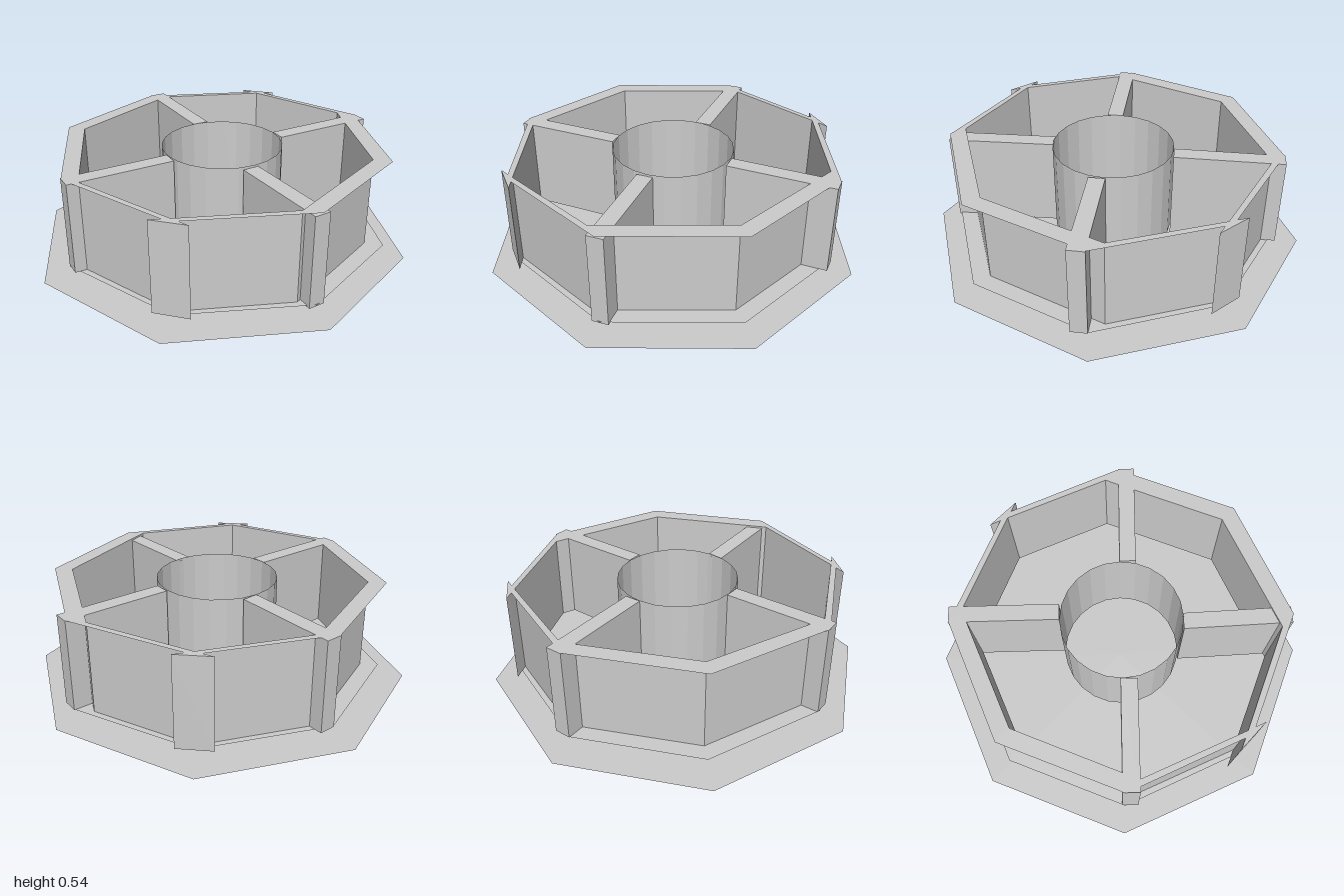
import * as THREE from 'three';

const BOTTOM = 0.06, TOP = 0.54;

export function createModel() {
  const group = new THREE.Group();
  const material = new THREE.MeshStandardMaterial({
    color: 0xcccccc, flatShading: true, side: THREE.DoubleSide,
  });
  const add = (geometry, name) => {
    const mesh = new THREE.Mesh(geometry, material);
    mesh.name = name;
    group.add(mesh);
    return mesh;
  };

  // Octagon outline in x/z with separate apex and diagonal reaches
  const octagon = (cx, rx, rz, dx, dz) => [
    [rx, 0], [dx, dz], [0, rz], [-dx, dz], [-rx, 0], [-dx, -dz], [0, -rz], [dx, -dz],
  ].map(([x, z]) => new THREE.Vector2(cx + x, z));
  const inner = octagon(0.012, 0.78, 0.836, 0.527, 0.619);
  const outer = octagon(0.013, 0.875, 0.867, 0.619, 0.617);

  // Flat eight-sided base sheet
  add(new THREE.CircleGeometry(1, 8).rotateX(-Math.PI / 2), 'basePlate');

  // Thin upright wall following the inner outline
  const corners = [];
  inner.forEach((a, i) => {
    const b = inner[(i + 1) % inner.length];
    corners.push(
      a.x, BOTTOM, a.y, a.x, TOP, a.y, b.x, TOP, b.y,
      a.x, BOTTOM, a.y, b.x, TOP, b.y, b.x, BOTTOM, b.y);
  });
  const wall = new THREE.BufferGeometry();
  wall.setAttribute('position', new THREE.Float32BufferAttribute(corners, 3));
  wall.computeVertexNormals();
  add(wall, 'octagonWall');

  // Flat flanges along the top and bottom of the wall
  const ring = new THREE.Shape(outer);
  ring.holes.push(new THREE.Path(inner));
  for (const [y, name] of [[TOP, 'topFlange'], [BOTTOM, 'bottomFlange']]) {
    add(new THREE.ShapeGeometry(ring).rotateX(Math.PI / 2), name).position.y = y;
  }

  // Open centre tube
  const tube = new THREE.CylinderGeometry(0.315, 0.315, TOP - BOTTOM, 24, 1, true);
  add(tube, 'centreTube').position.set(0.013, (TOP + BOTTOM) / 2 + 0.002, 0);

  // Diagonal spokes: start x/z, end x/z, vertical shift
  const spokes = {
    backRightSpoke: [-0.18, -0.255, -0.578, -0.65, 0],
    backLeftSpoke: [0.268, -0.198, 0.668, -0.588, 0],
    frontLeftSpoke: [0.222, 0.235, 0.628, 0.612, -0.01],
    frontRightSpoke: [-0.19, 0.245, -0.585, 0.633, 0],
  };
  for (const [name, [x0, z0, x1, z1, dy]] of Object.entries(spokes)) {
    const length = Math.hypot(x1 - x0, z1 - z0);
    const spoke = add(new THREE.BoxGeometry(length, TOP - BOTTOM, 0.085), name);
    spoke.position.set((x0 + x1) / 2, (TOP + BOTTOM) / 2 + dy, (z0 + z1) / 2);
    spoke.rotation.y = -Math.atan2(z1 - z0, x1 - x0);
  }

  // Wedge-shaped lugs on the front and back corners
  for (const [side, name] of [[1, 'frontLug'], [-1, 'backLug']]) {
    const wedge = new THREE.Shape([
      new THREE.Vector2(-0.08, side * 0.873),
      new THREE.Vector2(0.105, side * 0.873),
      new THREE.Vector2(0.012, side * 0.836),
    ]);
    const lug = new THREE.ExtrudeGeometry(wedge, { depth: TOP - BOTTOM, bevelEnabled: false });
    add(lug.rotateX(Math.PI / 2), name).position.y = TOP;
  }

  return group;
}
